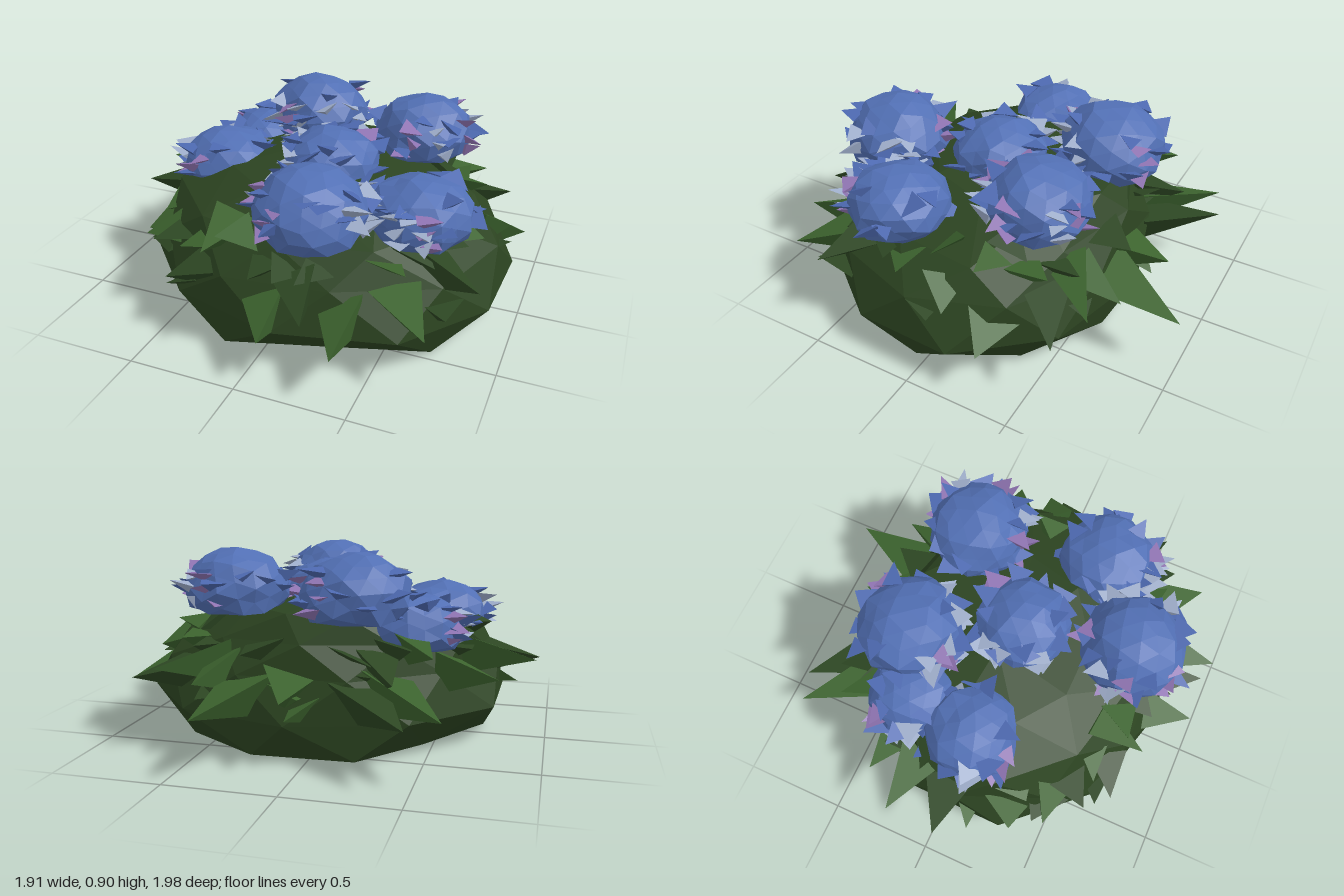
import * as THREE from 'three';

const material = (name, color, extra = {}) =>
  Object.assign(new THREE.MeshStandardMaterial({ color, flatShading: true, ...extra }), { name });

// Small seeded generator
let seed = 7;
const rnd = (a = 0, b = 1) => {
  seed = (seed * 16807) % 2147483647;
  return a + (b - a) * (seed / 2147483647);
};

// Uneven outline of the flat base: x, z
const BASE = [
  [0.85, 0.05], [0.7, 0.46], [0.25, 0.6], [-0.18, 0.73], [-0.47, 0.46],
  [-0.7, 0.11], [-0.46, -0.27], [-0.21, -0.58], [0.26, -0.6], [0.63, -0.37],
];
// Mound rings above the base: y, radius x, radius z, centre x, centre z
const RINGS = [
  [0.18, 0.89, 0.75, 0.08, 0.07],
  [0.37, 0.8, 0.69, 0.07, 0.06],
  [0.52, 0.69, 0.62, 0.03, 0.03],
  [0.63, 0.45, 0.45, -0.02, -0.05],
];
const SIDES = BASE.length;

// Point on the mound at a height and angle
function moundPoint(y, a) {
  let i = 0;
  while (i < RINGS.length - 2 && RINGS[i + 1][0] < y) i++;
  const t = (y - RINGS[i][0]) / (RINGS[i + 1][0] - RINGS[i][0]);
  const [, rx, rz, cx, cz] = RINGS[i].map((v, k) => v + (RINGS[i + 1][k] - v) * t);
  return new THREE.Vector3(cx + rx * Math.cos(a), y, cz + rz * Math.sin(a));
}

// Faceted mound with staggered rings, a peak and a flat base
function moundGeometry() {
  const pos = BASE.flatMap(([x, z]) => [x, 0.01, z]);
  const idx = [];
  RINGS.forEach(([y, rx, rz, cx, cz], r) => {
    for (let s = 0; s < SIDES; s++) {
      const a = ((s + (r % 2 ? 0 : 0.5)) / SIDES) * Math.PI * 2;
      const k = r ? rnd(0.95, 1.05) : rnd(0.98, 1.02);
      pos.push(cx + rx * k * Math.cos(a), r ? y + rnd(-0.02, 0.02) : y, cz + rz * k * Math.sin(a));
    }
  });
  const top = RINGS.length * SIDES;
  pos.push(-0.1, 0.69, 0.0, 0.07, 0.0, 0.07);
  for (let s = 0; s < SIDES; s++) {
    const n = (s + 1) % SIDES;
    for (let r = 0; r < RINGS.length; r++) {
      const a = r * SIDES + s, b = r * SIDES + n, c = a + SIDES, d = b + SIDES;
      if (r % 2) idx.push(a, d, b, a, c, d);
      else idx.push(a, c, b, b, c, d);
    }
    idx.push(top + s, top + SIDES, top + n, s, n, top + SIDES + 1);
  }
  const g = new THREE.BufferGeometry();
  g.setAttribute('position', new THREE.Float32BufferAttribute(pos, 3));
  g.setIndex(idx);
  const flat = g.toNonIndexed();
  flat.computeVertexNormals();
  return flat;
}

// Three-sided pointed blade from base to tip
function blade(name, mat, base, tip, width, thick) {
  const dir = tip.clone().sub(base);
  const len = dir.length();
  const y = dir.normalize();
  const x = new THREE.Vector3(0, 1, 0).cross(y).normalize();
  const z = x.clone().cross(y);
  const g = new THREE.ConeGeometry(1, 1, 3, 1);
  g.translate(0, 0.5, 0).scale(width / 1.73, len, thick / 1.5).rotateY(rnd(-0.5, 0.5));
  const m = new THREE.Mesh(g, mat);
  m.name = name;
  m.applyMatrix4(new THREE.Matrix4().makeBasis(x, y, z).setPosition(base));
  return m;
}

// Lumpy dome with a flat underside
function domeGeometry(r, ry, drop) {
  const g = new THREE.IcosahedronGeometry(1, 2);
  g.rotateX(rnd(0, 3)).rotateY(rnd(0, 3));
  const p = g.attributes.position;
  const v = new THREE.Vector3();
  for (let i = 0; i < p.count; i++) {
    v.fromBufferAttribute(p, i);
    const k = 1 + 0.05 * Math.sin(Math.round(v.x * 100) * 1.7 + Math.round(v.y * 100) * 2.3 + Math.round(v.z * 100) * 3.1);
    p.setXYZ(i, v.x * r * k, Math.max(v.y * ry * k, -drop), v.z * r * k);
  }
  g.computeVertexNormals();
  return g;
}

export function createModel() {
  seed = 7;
  const moundGreen = material('mound green', 0x2c4421);
  const leafGreen = material('leaf green', 0x3c632e, { side: THREE.DoubleSide });
  const darkLeaf = material('dark leaf green', 0x2d4723, { side: THREE.DoubleSide });
  const blue = material('blossom blue', 0x5270b5);
  const petalBlue = material('petal blue', 0x4d69b0, { side: THREE.DoubleSide });
  const lilac = material('petal lilac', 0x8f74b2, { side: THREE.DoubleSide });
  const pale = material('petal pale blue', 0xa0afcc, { side: THREE.DoubleSide });

  const model = new THREE.Group();
  model.name = 'floweringBush';

  const mound = new THREE.Mesh(moundGeometry(), moundGreen);
  mound.name = 'leafMound';
  model.add(mound);

  // Long leaves around the rim: tip x, y, z, width
  const leaves = new THREE.Group();
  leaves.name = 'leaves';
  [
    [0.37, 0.28, -1.0, 0.3], [-0.48, 0.27, -0.89, 0.28], [-0.62, 0.3, -0.84, 0.26], [0.05, 0.32, -0.82, 0.26],
    [-0.4, 0.4, -0.72, 0.2], [0.46, 0.36, -0.76, 0.2], [0.67, 0.4, -0.7, 0.2], [0.82, 0.33, -0.61, 0.24],
    [0.95, 0.26, -0.33, 0.26], [0.9, 0.38, -0.14, 0.2], [0.9, 0.4, 0.52, 0.2], [0.75, 0.3, 0.79, 0.24],
    [0.42, 0.25, 0.98, 0.22], [0.28, 0.35, 0.94, 0.2], [0.1, 0.24, 0.97, 0.2], [-0.23, 0.5, 0.8, 0.2],
    [-0.45, 0.3, 0.75, 0.2], [-0.7, 0.34, 0.5, 0.2], [-0.78, 0.28, 0.36, 0.26], [-0.96, 0.38, 0.05, 0.27],
    [-0.95, 0.42, -0.19, 0.25], [-0.8, 0.36, -0.36, 0.22], [-0.74, 0.57, -0.1, 0.2], [-0.55, 0.5, -0.62, 0.2],
  ].forEach(([x, y, z, w], i) => {
    const a = Math.atan2((z - 0.06) / 0.72, (x - 0.06) / 0.83) + rnd(-0.1, 0.1);
    const base = moundPoint(Math.min(y + 0.03, 0.55), a).lerp(new THREE.Vector3(0.05, y, 0.05), 0.08);
    const mat = i % 3 === 1 ? darkLeaf : leafGreen;
    leaves.add(blade('longLeaf', mat, base, new THREE.Vector3(x, y, z), w, 0.19));
  });

  // Short leaves scattered over the slopes
  for (let i = 0; i < 34; i++) {
    const a = (i / 34) * Math.PI * 2 + rnd(-0.1, 0.1);
    const base = moundPoint(rnd(0.25, 0.58), a);
    const reach = rnd(0.07, 0.14), turn = a + rnd(-1, 1);
    const tip = base.clone().add(new THREE.Vector3(Math.cos(turn) * reach, rnd(-0.05, 0.04), Math.sin(turn) * reach));
    tip.x = THREE.MathUtils.clamp(tip.x, -0.95, 0.95);
    base.lerp(new THREE.Vector3(0.05, base.y, 0.05), 0.07);
    leaves.add(blade('shortLeaf', i % 5 < 2 ? leafGreen : darkLeaf, base, tip, rnd(0.14, 0.24), rnd(0.03, 0.12)));
  }
  model.add(leaves);

  // Flower heads: x, z, radius, underside y, top y, angles of pale petal tufts, angles of lilac tufts
  [
    [-0.18, -0.41, 0.245, 0.61, 0.905, [10, 70, 95, 125], [-65, 110]],
    [0.41, -0.33, 0.235, 0.62, 0.9, [50, -50], [15, 105, -75]],
    [-0.48, 0.04, 0.225, 0.5, 0.73, [-50, -85, 150], [118]],
    [0.07, 0.05, 0.225, 0.58, 0.82, [180, 140, 215], [-60]],
    [0.18, 0.57, 0.245, 0.565, 0.855, [-55, -25, 190, 15], [112, 185, -95]],
    [0.57, 0.29, 0.235, 0.5, 0.765, [110, 75], [58]],
    [-0.42, -0.29, 0.21, 0.48, 0.72, [170, 35, 70], [215]],
  ].forEach(([x, z, r, low, high, paleTufts, lilacTufts]) => {
    const drop = (high - low) * 0.34, ry = high - low - drop;
    const head = new THREE.Group();
    head.name = 'flowerHead';
    head.position.set(x, low + drop, z);
    const dome = new THREE.Mesh(domeGeometry(r, ry, drop), blue);
    dome.name = 'blossomDome';
    head.add(dome);

    // Pointed petal standing out sideways at an angle and elevation
    const addPetal = (mat, a, e) => {
      const base = new THREE.Vector3(Math.cos(a) * Math.cos(e) * r, Math.sin(e) * ry, Math.sin(a) * Math.cos(e) * r).multiplyScalar(0.92);
      const turn = a + rnd(-0.8, 0.8), len = rnd(0.07, 0.115);
      const tip = base.clone().add(new THREE.Vector3(Math.cos(turn) * len, rnd(-0.02, 0.04), Math.sin(turn) * len));
      head.add(blade('petal', mat, base, tip, rnd(0.08, 0.15), rnd(0.025, 0.06)));
    };
    for (let i = 0; i < 13; i++) addPetal(petalBlue, (i / 13) * Math.PI * 6 + rnd(-0.2, 0.2), rnd(-0.2, 0.9));
    for (const [mat, tufts] of [[pale, paleTufts], [lilac, lilacTufts]]) {
      for (const deg of tufts) {
        for (let i = 0; i < 3; i++) addPetal(mat, THREE.MathUtils.degToRad(deg + rnd(-16, 16)), -0.25 + i * 0.36);
      }
    }
    model.add(head);
  });

  return model;
}
